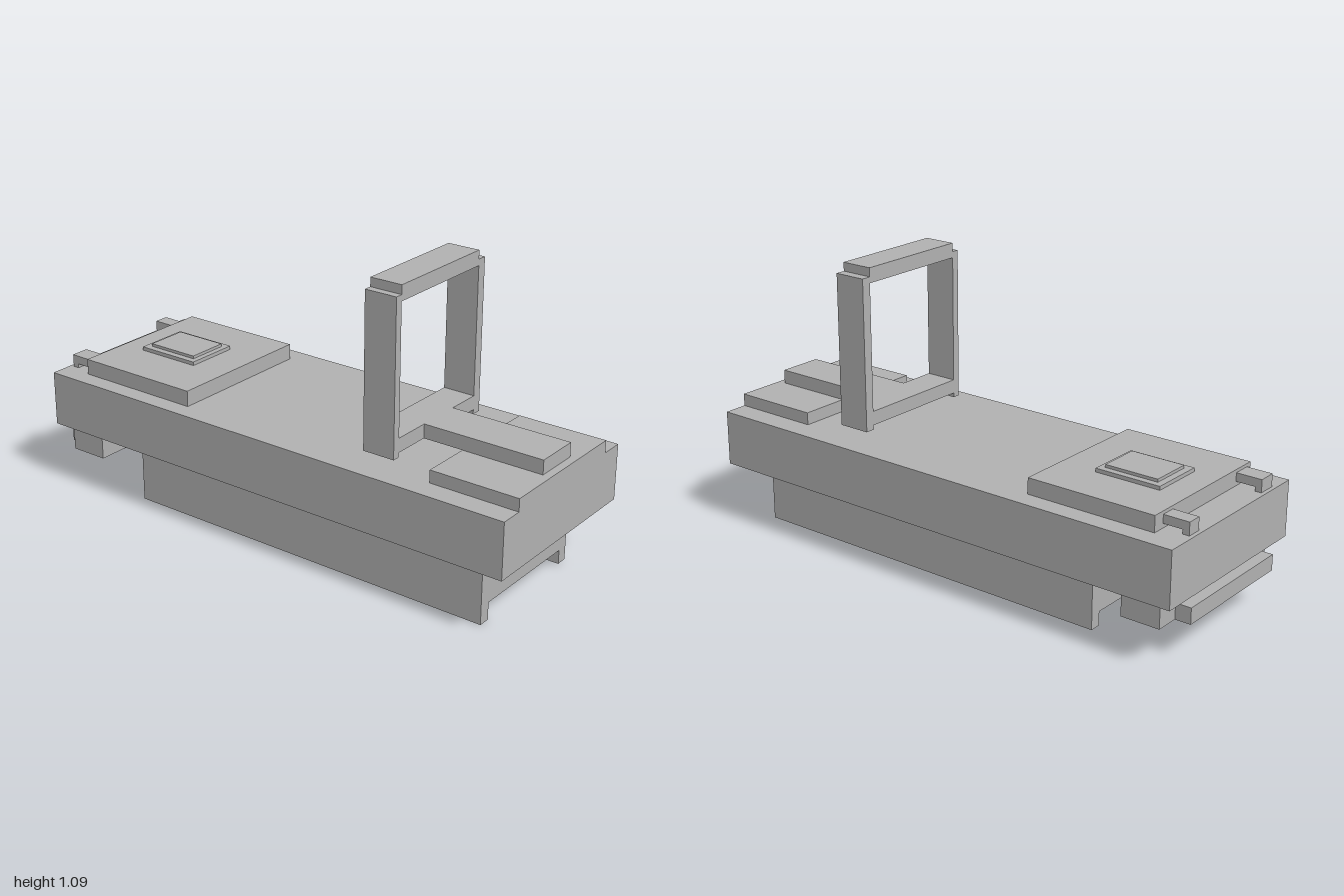
import * as THREE from 'three';

export function createModel() {
  const model = new THREE.Group();
  const grey = new THREE.MeshStandardMaterial({ color: 0xb2b2b2 });
  grey.name = 'plain grey';

  // Box given by its extents along each axis
  const box = (name, [x0, x1], [y0, y1], [z0, z1], parent = model) => {
    const mesh = new THREE.Mesh(new THREE.BoxGeometry(x1 - x0, y1 - y0, z1 - z0), grey);
    mesh.position.set((x0 + x1) / 2, (y0 + y1) / 2, (z0 + z1) / 2);
    mesh.name = name;
    parent.add(mesh);
    return mesh;
  };
  const group = (name) => {
    const g = new THREE.Group();
    g.name = name;
    model.add(g);
    return g;
  };

  // Main slab
  box('body', [-0.366, 0.366], [0.24, 0.45], [-1, 1]);

  // Underbody: one channel section with two rails, extruded along z
  const section = new THREE.Shape([
    [-0.286, 0.24], [-0.286, 0], [-0.241, 0], [-0.241, 0.065],
    [0.215, 0.063], [0.215, 0.01], [0.258, 0.01], [0.258, 0.24],
  ].map(([x, y]) => new THREE.Vector2(x, y)));
  const underbody = new THREE.Mesh(
    new THREE.ExtrudeGeometry(section, { depth: 1.51, bevelEnabled: false }), grey);
  underbody.position.z = -0.63;
  underbody.name = 'underbody';
  model.add(underbody);

  // Rear bumper with a narrower lip
  const bumper = group('rearBumper');
  box('bumperBlock', [-0.336, 0.326], [0.14, 0.24], [-0.94, -0.79], bumper);
  box('bumperLip', [-0.285, 0.235], [0.14, 0.2], [-1, -0.94], bumper);

  // Front deck and the tongue leading to the frame
  box('frontDeck', [-0.28, 0.275], [0.45, 0.497], [0.66, 1]);
  box('tongue', [-0.088, 0.086], [0.497, 0.55], [0.5, 0.97]);

  // Upright open frame
  const frame = group('uprightFrame');
  const depth = [0.38, 0.505];
  box('rightPost', [-0.264, -0.235], [0.48, 1.053], depth, frame);
  box('leftPost', [0.218, 0.255], [0.48, 1.053], depth, frame);
  box('topBar', [-0.235, 0.218], [1.03, 1.086], depth, frame);
  box('bottomBar', [-0.235, 0.218], [0.497, 0.55], depth, frame);

  // Rear deck with a stepped plate
  box('rearDeck', [-0.297, 0.291], [0.45, 0.51], [-0.886, -0.381]);
  box('plateBase', [-0.1, 0.11], [0.51, 0.524], [-0.785, -0.528]);
  box('plateTop', [-0.075, 0.085], [0.524, 0.535], [-0.76, -0.55]);

  // Hooked tabs behind the rear deck
  for (const [side, x] of [['right', [-0.275, -0.205]], ['left', [0.187, 0.243]]]) {
    const tab = group(side + 'Tab');
    box('tabArm', x, [0.466, 0.498], [-0.985, -0.886], tab);
    box('tabFoot', x, [0.45, 0.466], [-0.985, -0.96], tab);
  }

  return model;
}
